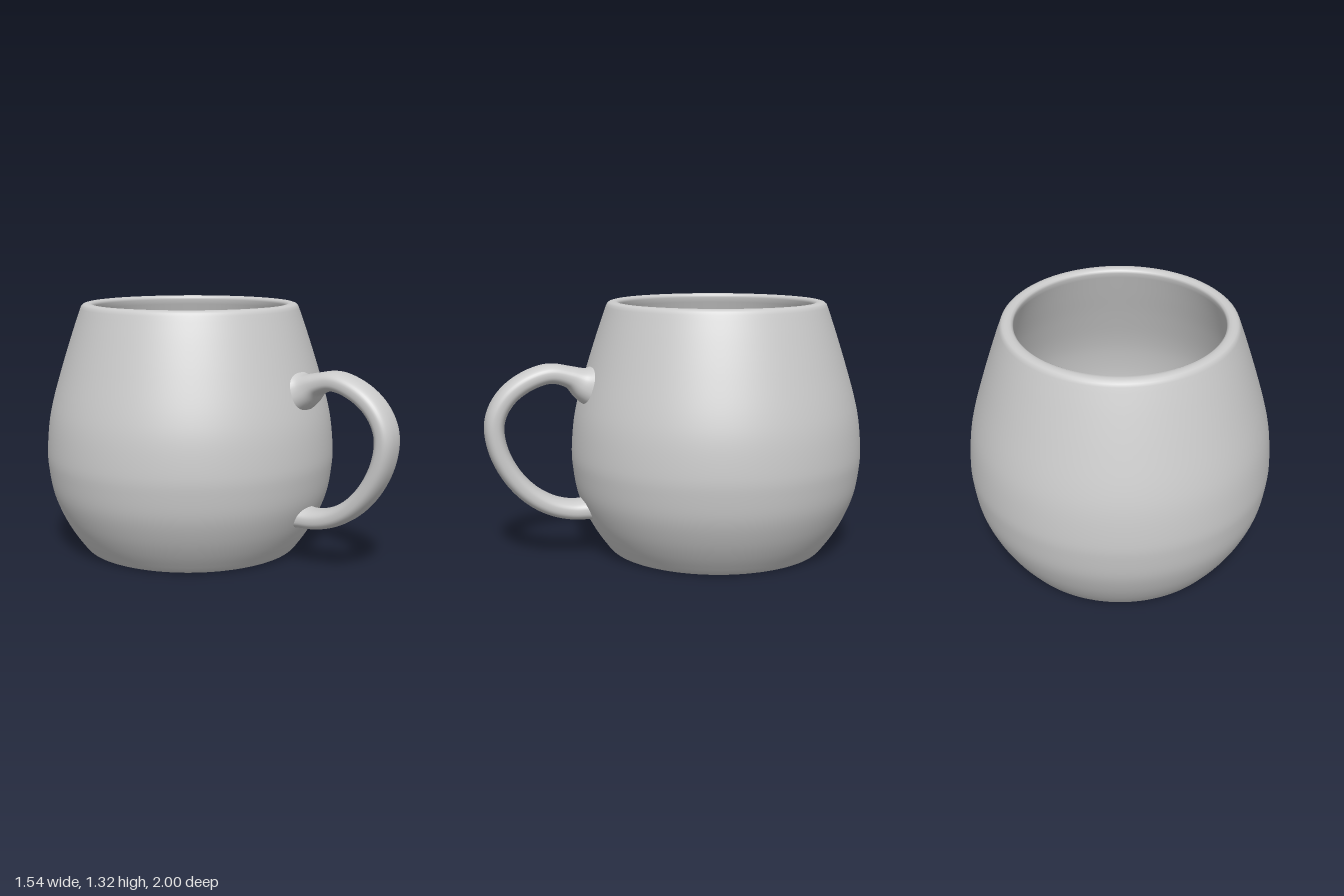
import * as THREE from 'three';

const V2 = (x, y) => new THREE.Vector2(x, y);

// Smooth curve through [radius, height] pairs
const smooth = (pairs, n) =>
  new THREE.SplineCurve(pairs.map(([r, y]) => V2(r, y))).getSpacedPoints(n);

// Thick-walled round body, turned from one closed profile
function makeBody(material) {
  const outer = smooth([
    [0.585, 0.016], [0.645, 0.1], [0.7, 0.2], [0.745, 0.32], [0.766, 0.45], [0.77, 0.54],
    [0.757, 0.69], [0.73, 0.82], [0.677, 1.0], [0.622, 1.17], [0.58, 1.29],
  ], 48);
  const inner = smooth([
    [0.511, 1.295], [0.56, 1.15], [0.615, 0.99], [0.668, 0.82], [0.696, 0.69], [0.71, 0.54],
    [0.7, 0.42], [0.675, 0.3], [0.63, 0.19], [0.58, 0.12], [0.52, 0.08], [0.45, 0.07],
  ], 48);
  const profile = [
    V2(0, 0), V2(0.55, 0), V2(0.562, 0.0005), V2(0.574, 0.005),
    ...outer,
    V2(0.574, 1.304), V2(0.565, 1.312), V2(0.553, 1.316), V2(0.54, 1.317),
    V2(0.525, 1.315), V2(0.515, 1.308),
    ...inner,
    V2(0, 0.07),
  ];
  const body = new THREE.Mesh(new THREE.LatheGeometry(profile, 128), material);
  body.name = 'body';
  body.position.z = -0.23;
  return body;
}

// Handle: a rounded flat section swept along a curve in the yz plane, flaring at the wall
function makeHandle(material) {
  const path = new THREE.CatmullRomCurve3([
    [0.44, 0.892], [0.49, 0.909], [0.56, 0.945], [0.66, 0.967], [0.77, 0.937], [0.87, 0.87],
    [0.93, 0.785], [0.95, 0.7], [0.93, 0.575], [0.865, 0.445], [0.775, 0.345], [0.67, 0.28],
    [0.56, 0.251], [0.45, 0.252],
  ].map(([z, y]) => new THREE.Vector3(0.028, y, z)));
  const steps = 120, sides = 40;
  const length = path.getLength();
  const side = new THREE.Vector3(1, 0, 0);
  const squash = (v) => Math.sign(v) * Math.abs(v) ** 0.8;
  const positions = [], index = [];

  for (let i = 0; i <= steps; i++) {
    const t = i / steps;
    const c = path.getPointAt(t);
    const n = path.getTangentAt(t).cross(side);
    const s = t * length, e = length - s;
    const foot = 0.02 * Math.exp(-e / 0.04);
    const w = 0.081 + 0.055 * Math.exp(-s / 0.06) + foot;
    const h = 0.05 + 0.055 * Math.exp(-((s / 0.09) ** 2)) + foot / 2;
    for (let j = 0; j < sides; j++) {
      const a = (j / sides) * Math.PI * 2;
      const p = c.clone()
        .addScaledVector(side, squash(Math.cos(a)) * w)
        .addScaledVector(n, squash(Math.sin(a)) * h);
      positions.push(p.x, p.y, p.z);
      if (i < steps) {
        const k = (j + 1) % sides, r = i * sides, q = r + sides;
        index.push(r + j, r + k, q + j, r + k, q + k, q + j);
      }
    }
  }
  const geometry = new THREE.BufferGeometry();
  geometry.setAttribute('position', new THREE.Float32BufferAttribute(positions, 3));
  geometry.setIndex(index);
  geometry.computeVertexNormals();
  const handle = new THREE.Mesh(geometry, material);
  handle.name = 'handle';
  return handle;
}

export function createModel() {
  const group = new THREE.Group();
  group.name = 'mug';
  const material = new THREE.MeshStandardMaterial({ color: 0xcccccc });
  group.add(makeBody(material), makeHandle(material));
  return group;
}
